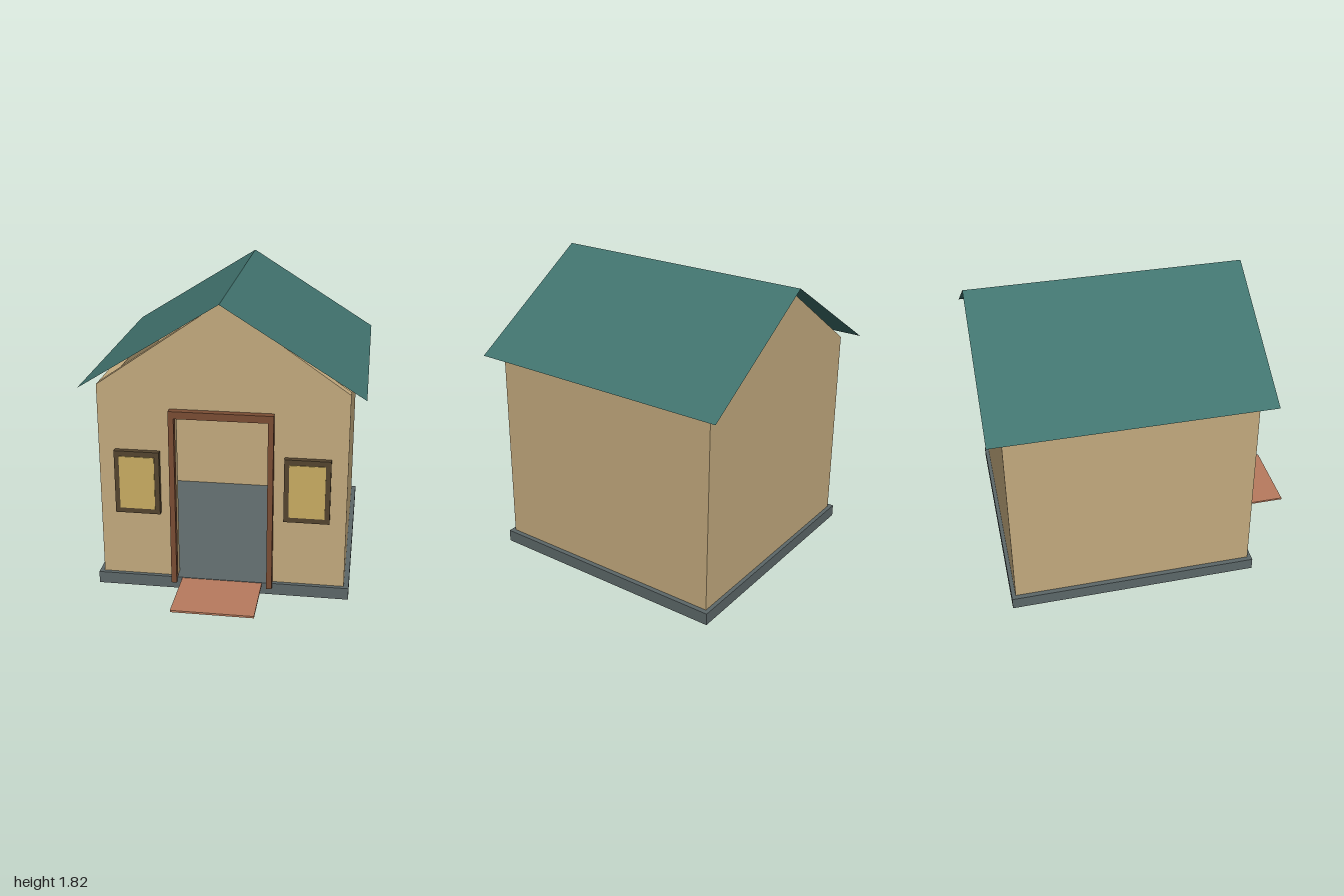
import * as THREE from 'three';

const mat = (name, color, side = THREE.FrontSide) => {
  const m = new THREE.MeshStandardMaterial({ color, side });
  m.name = name;
  return m;
};

export function createModel() {
  const house = new THREE.Group();
  house.name = 'house';

  const wallTan = mat('wallTan', 0xc3aa7e);
  const roofGreen = mat('roofGreen', 0x41736e, THREE.DoubleSide);
  const stoneGrey = mat('stoneGrey', 0x5c6768);
  const doorBrown = mat('doorBrown', 0x7a4d34);
  const darkWood = mat('darkWood', 0x54442f);
  const glassYellow = mat('glassYellow', 0xc9ad62);
  const clay = mat('clay', 0xb87b5e);

  const add = (name, geometry, material) => {
    const mesh = new THREE.Mesh(geometry, material);
    mesh.name = name;
    house.add(mesh);
    return mesh;
  };
  // Box given by its minimum and maximum on each axis
  const box = (name, material, x0, x1, y0, y1, z0, z1) =>
    add(name, new THREE.BoxGeometry(x1 - x0, y1 - y0, z1 - z0), material)
      .position.set((x0 + x1) / 2, (y0 + y1) / 2, (z0 + z1) / 2);

  const W = 0.745, floorY = 0.075, eaveY = 1.3, ridgeY = 1.815;
  const frontZ = 0.585, backZ = -0.91, thick = 0.06;

  box('foundation', stoneGrey, -0.775, 0.775, 0, floorY, -0.935, 0.61);

  // Gable walls; the front one is notched for the doorway
  const gable = (name, z, doorway) => {
    const outline = [[-W, floorY]];
    if (doorway) outline.push([-0.28, floorY], [-0.28, 1.125], [0.28, 1.125], [0.28, floorY]);
    outline.push([W, floorY], [W, eaveY], [0, ridgeY], [-W, eaveY]);
    const shape = new THREE.Shape(outline.map(([x, y]) => new THREE.Vector2(x, y)));
    add(name, new THREE.ExtrudeGeometry(shape, { depth: thick, bevelEnabled: false }), wallTan)
      .position.z = z;
  };
  gable('frontWall', frontZ - thick, true);
  gable('backWall', backZ, false);

  // Side walls
  box('leftWall', wallTan, W - thick, W, floorY, eaveY, backZ + thick, frontZ - thick);
  box('rightWall', wallTan, -W, thick - W, floorY, eaveY, backZ + thick, frontZ - thick);

  // Thin roof sheets from ridge to eaves
  const roofW = 0.835, rise = 0.52, roofFront = 0.67, roofBack = -1;
  for (const s of [-1, 1]) {
    const sheet = new THREE.PlaneGeometry(Math.hypot(roofW, rise), roofFront - roofBack);
    sheet.rotateX(-Math.PI / 2);
    sheet.rotateZ(-s * Math.atan2(rise, roofW));
    add(s > 0 ? 'leftRoof' : 'rightRoof', sheet, roofGreen)
      .position.set(s * roofW / 2, eaveY + rise / 2, (roofFront + roofBack) / 2);
  }

  // Door frame
  box('rightDoorPost', doorBrown, -0.31, -0.277, 0.05, 1.125, 0.59, 0.637);
  box('leftDoorPost', doorBrown, 0.277, 0.31, 0.05, 1.125, 0.59, 0.637);
  box('doorLintel', doorBrown, -0.31, 0.31, 1.125, 1.17, 0.59, 0.637);

  // Entry slab
  box('entrySlab', clay, -0.247, 0.247, 0.06, 0.072, 0.61, 1);

  // Windows with thin panes on their fronts
  for (const s of [-1, 1]) {
    const side = s > 0 ? 'left' : 'right', x = s * 0.51;
    box(side + 'WindowFrame', darkWood, x - 0.137, x + 0.137, 0.5, 0.9, 0.585, 0.62);
    box(side + 'WindowPane', glassYellow, x - 0.107, x + 0.107, 0.533, 0.867, 0.618, 0.625);
  }
  return house;
}
